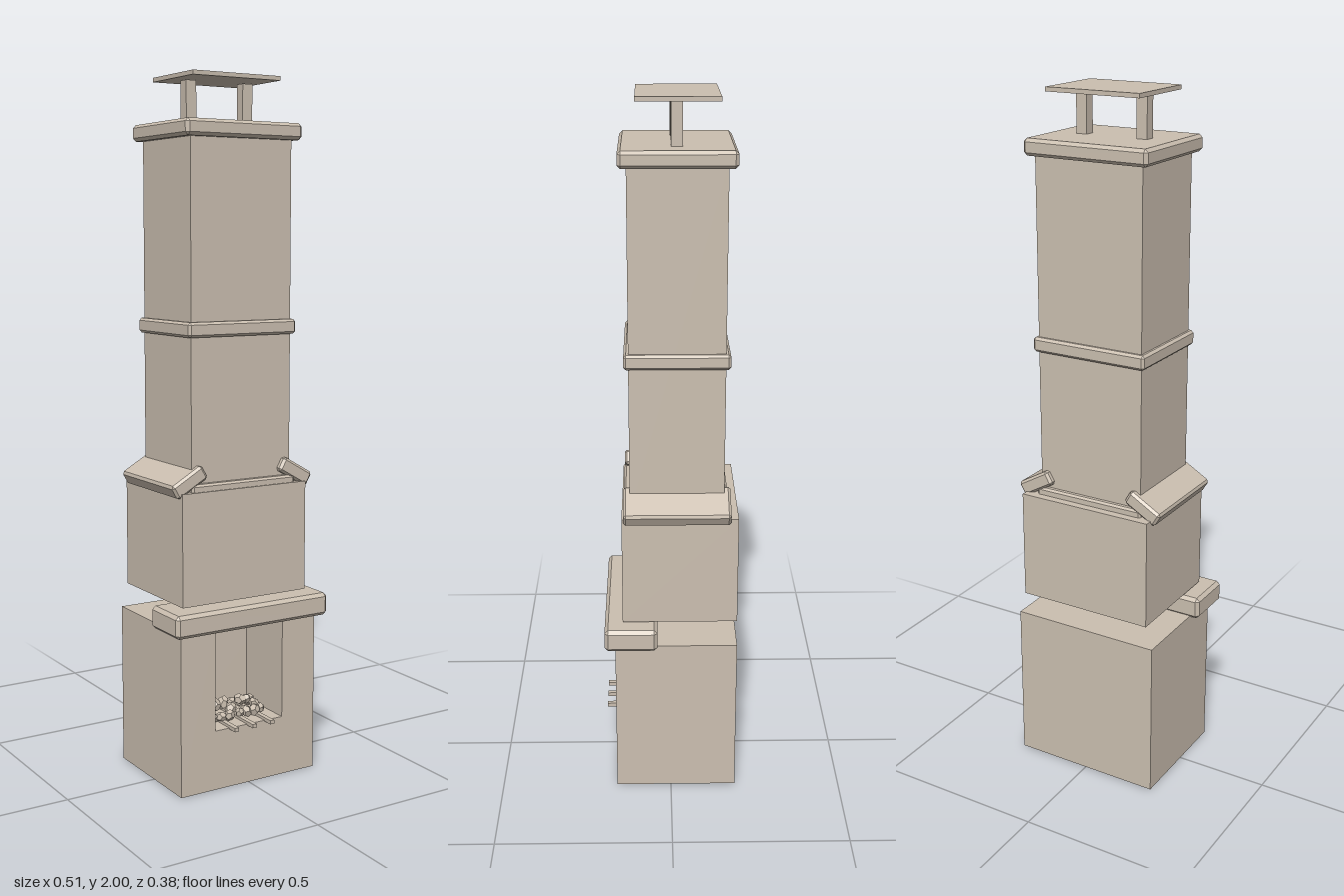
import * as THREE from 'three';
import { ConvexGeometry } from 'three/addons/geometries/ConvexGeometry.js';

const stone = new THREE.MeshStandardMaterial({ color: 0xcbbfb0 });
stone.name = 'warm stone';
const soot = new THREE.MeshStandardMaterial({ color: 0x151515 });
soot.name = 'black underside';

// Box given by its extents on each axis
function box(name, [x0, x1], [y0, y1], [z0, z1]) {
  const mesh = new THREE.Mesh(new THREE.BoxGeometry(x1 - x0, y1 - y0, z1 - z0), stone);
  mesh.position.set((x0 + x1) / 2, (y0 + y1) / 2, (z0 + z1) / 2);
  mesh.name = name;
  return mesh;
}

// Box with every edge chamfered by c
function chamferBox(name, [x0, x1], [y0, y1], [z0, z1], c = 0.009) {
  const h = [(x1 - x0) / 2, (y1 - y0) / 2, (z1 - z0) / 2];
  const points = [];
  for (const sx of [-1, 1]) for (const sy of [-1, 1]) for (const sz of [-1, 1])
    for (let full = 0; full < 3; full++) {
      const [x, y, z] = h.map((v, i) => (i === full ? v : v - c));
      points.push(new THREE.Vector3(sx * x, sy * y, sz * z));
    }
  const mesh = new THREE.Mesh(new ConvexGeometry(points), stone);
  mesh.position.set((x0 + x1) / 2, (y0 + y1) / 2, (z0 + z1) / 2);
  mesh.name = name;
  return mesh;
}

function rectangle(target, x0, x1, y0, y1) {
  target.moveTo(x0, y0).lineTo(x1, y0).lineTo(x1, y1).lineTo(x0, y1).closePath();
  return target;
}

function createFirebox() {
  const firebox = new THREE.Group();
  firebox.name = 'firebox';

  // Front half with the hearth opening, solid half behind it
  const shape = rectangle(new THREE.Shape(), -0.225, 0.225, 0.001, 0.472);
  shape.holes.push(rectangle(new THREE.Path(), -0.113, 0.113, 0.175, 0.466));
  const front = new THREE.Mesh(
    new THREE.ExtrudeGeometry(shape, { depth: 0.19, bevelEnabled: false }), stone);
  front.position.z = -0.03;
  front.name = 'hearthSurround';
  firebox.add(front, box('fireboxBack', [-0.225, 0.225], [0.001, 0.472], [-0.19, -0.03]));

  const underside = new THREE.Mesh(new THREE.PlaneGeometry(0.45, 0.35), soot);
  underside.rotation.x = Math.PI / 2;
  underside.position.z = -0.015;
  underside.name = 'underside';
  firebox.add(underside);

  // Grate bars poking out of the opening
  for (const x of [-0.06, 0, 0.06])
    firebox.add(box('grateBar', [x - 0.007, x + 0.007], [0.172, 0.183], [-0.02, 0.19]));
  return firebox;
}

function createCoals() {
  const coals = new THREE.Group();
  coals.name = 'coals';
  let seed = 11;
  const random = () => (seed = (seed * 16807) % 2147483647) / 2147483647;

  // Three rows of small angular lumps, a few piled higher
  for (let row = 0; row < 3; row++)
    for (let i = 0; i < 7; i++) {
      const r = 0.014 + 0.006 * random();
      const lump = new THREE.Mesh(new THREE.DodecahedronGeometry(r, 0), stone);
      const x = -0.088 + i * 0.029 + (random() - 0.5) * 0.012;
      const lift = row === 1 && i % 3 !== 0 ? 0.022 : 0;
      lump.position.set(x, 0.19 + lift, 0.01 + row * 0.042 + random() * 0.012);
      lump.rotation.set(random() * 3, random() * 3, random() * 3);
      lump.scale.set(1.1, 0.85, 1);
      lump.name = 'coal';
      coals.add(lump);
    }
  return coals;
}

export function createModel() {
  const model = new THREE.Group();
  model.name = 'chimney';
  model.add(createFirebox(), createCoals());

  // Mantel and breast
  model.add(chamferBox('mantelShelf', [-0.253, 0.253], [0.467, 0.533], [0.039, 0.19], 0.01));
  model.add(box('chimneyBreast', [-0.205, 0.205], [0.54, 0.86], [-0.19, 0.138]));

  // Shoulders: flat ledge with a tilted coping on each side
  model.add(chamferBox('shoulderLedge', [-0.17, 0.17], [0.835, 0.881], [-0.166, 0.134], 0.006));
  for (const side of [-1, 1]) {
    const coping = chamferBox('shoulderCoping', [-0.055, 0.055], [-0.022, 0.022], [-0.168, 0.133], 0.007);
    coping.position.x = side * 0.176;
    coping.position.y = 0.889;
    coping.rotation.z = -side * Math.PI / 6;
    model.add(coping);
  }

  // Stack with its band and crown
  model.add(box('stack', [-0.163, 0.163], [0.86, 1.84], [-0.15, 0.115]));
  model.add(chamferBox('stackBand', [-0.176, 0.176], [1.286, 1.328], [-0.163, 0.128], 0.007));
  model.add(chamferBox('stackCrown', [-0.187, 0.187], [1.825, 1.871], [-0.174, 0.138]));

  // Rain cover on two posts
  for (const x of [-0.092, 0.092])
    model.add(box('coverPost', [x - 0.016, x + 0.016], [1.871, 1.985], [-0.032, -0.001]));
  model.add(box('rainCover', [-0.141, 0.141], [1.988, 2], [-0.13, 0.092]));
  return model;
}
